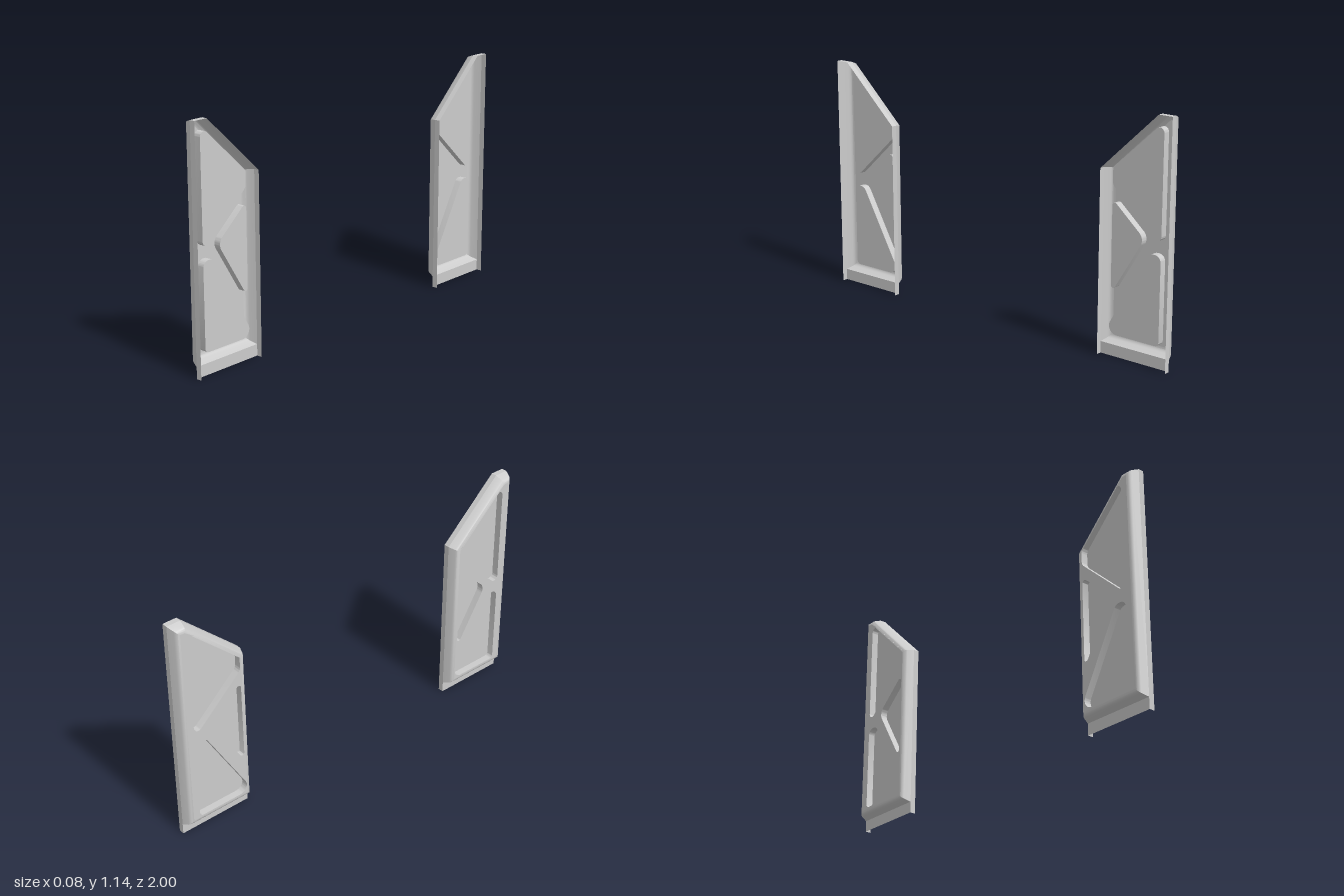
import * as THREE from 'three';
import { toCreasedNormals } from 'three/addons/utils/BufferGeometryUtils.js';

const material = new THREE.MeshStandardMaterial({ color: 0xcccccc, side: THREE.DoubleSide });

// Panels are drawn in a flat plane (u = z, v = y, w = -x) and then turned upright.
const RIM = -0.0375, LIP = -0.01, FACE = 0.0375, POCKET = 0.003;
const OUTLINE = [[0.63, 0.055], [1, 0.055], [1, 1.145], [0.93, 1.145], [0.63, 0.865]];

// Pocket corners, counter-clockwise: u, v, corner radius
const POCKETS = {
  upperPocket: [[0.933, 1.11, 0.023], [0.67, 0.865, 0.035], [0.67, 0.79, 0.035], [0.933, 0.548, 0.023]],
  middlePocket: [[0.67, 0.725, 0.014], [0.67, 0.285, 0.012], [0.845, 0.572, 0.045]],
  lowerPocket: [[0.636, 0.096, 0.04], [0.933, 0.096, 0.02], [0.933, 0.513, 0.032], [0.873, 0.513, 0.035]],
};

// Surface between successive rings of points
function loft(rings, closed = true) {
  const n = rings[0].length, index = [];
  for (let i = 0; i < rings.length - 1; i++) {
    for (let j = 0; j < (closed ? n : n - 1); j++) {
      const k = (j + 1) % n;
      const a = i * n + j, b = i * n + k, c = b + n, d = a + n;
      index.push(a, b, c, a, c, d);
    }
  }
  const geo = new THREE.BufferGeometry();
  geo.setAttribute('position', new THREE.Float32BufferAttribute(rings.flat(2), 3));
  geo.setIndex(index);
  return toCreasedNormals(geo, 0.6);
}

const ringAt = (points, w) => points.map(([u, v]) => [u, v, w]);

// Convex polygon with every edge moved inward by d
function inset(points, d) {
  const n = points.length;
  return points.map((p, i) => {
    const P = new THREE.Vector2(...p);
    const back = new THREE.Vector2(...points[(i + n - 1) % n]).sub(P).normalize();
    const next = new THREE.Vector2(...points[(i + 1) % n]).sub(P).normalize();
    const s = d / Math.abs(back.cross(next));
    return P.addScaledVector(back, s).addScaledVector(next, s).toArray();
  });
}

// Convex polygon with rounded corners
function roundedPath(corners) {
  const path = new THREE.Shape();
  const n = corners.length;
  corners.forEach(([u, v, r], i) => {
    const P = new THREE.Vector2(u, v);
    const a = corners[(i + n - 1) % n], b = corners[(i + 1) % n];
    const into = P.clone().sub(new THREE.Vector2(a[0], a[1])).normalize();
    const out = new THREE.Vector2(b[0], b[1]).sub(P).normalize();
    const s = r / Math.abs(into.cross(out));
    const c = P.clone().addScaledVector(into, -s).addScaledVector(out, s);
    path.absarc(c.x, c.y, r, into.angle() - Math.PI / 2, out.angle() - Math.PI / 2, false);
  });
  return path;
}

function createPanel() {
  const panel = new THREE.Group();
  const add = (name, geo) => {
    const mesh = new THREE.Mesh(geo, material);
    mesh.name = name;
    panel.add(mesh);
  };

  // Straight collar around the open side, running down past the body
  const collar = [[1, 0], ...OUTLINE.slice(2), [0.63, 0]];
  add('collar', loft([ringAt(collar, RIM), ringAt(collar, LIP)], false));

  // Mounting lip below the body
  add('bottomLip', loft([[[0.63, 0, LIP], [1, 0, LIP]], [[0.63, 0.055, LIP], [1, 0.055, LIP]]], false));

  // Tapered wall rounding over into the face: inset, w
  const bevel = [[0, LIP], [0.012, 0.023], [0.017, 0.031], [0.024, 0.0355], [0.033, FACE]];
  add('bevelledWall', loft(bevel.map(([d, w]) => ringAt(inset(OUTLINE, d), w))));

  // Face pierced by the pockets
  const face = new THREE.Shape(inset(OUTLINE, 0.033).map((p) => new THREE.Vector2(...p)));
  for (const [name, corners] of Object.entries(POCKETS)) {
    const points = roundedPath(corners).getPoints(8);
    face.holes.push(new THREE.Path(points));
    const flat = points.map((p) => [p.x, p.y]);
    add(name + 'Wall', loft([ringAt(flat, FACE), ringAt(flat, POCKET)]));
    add(name + 'Floor', new THREE.ShapeGeometry(new THREE.Shape(points)).translate(0, 0, POCKET));
  }
  add('face', new THREE.ShapeGeometry(face).translate(0, 0, FACE));

  panel.rotation.y = -Math.PI / 2;
  return panel;
}

export function createModel() {
  const model = new THREE.Group();
  model.name = 'panelPair';
  // Two panels mirrored front to back
  for (const [name, side] of [['frontPanel', 1], ['backPanel', -1]]) {
    const holder = new THREE.Group();
    holder.name = name;
    holder.scale.z = side;
    holder.add(createPanel());
    model.add(holder);
  }
  return model;
}
